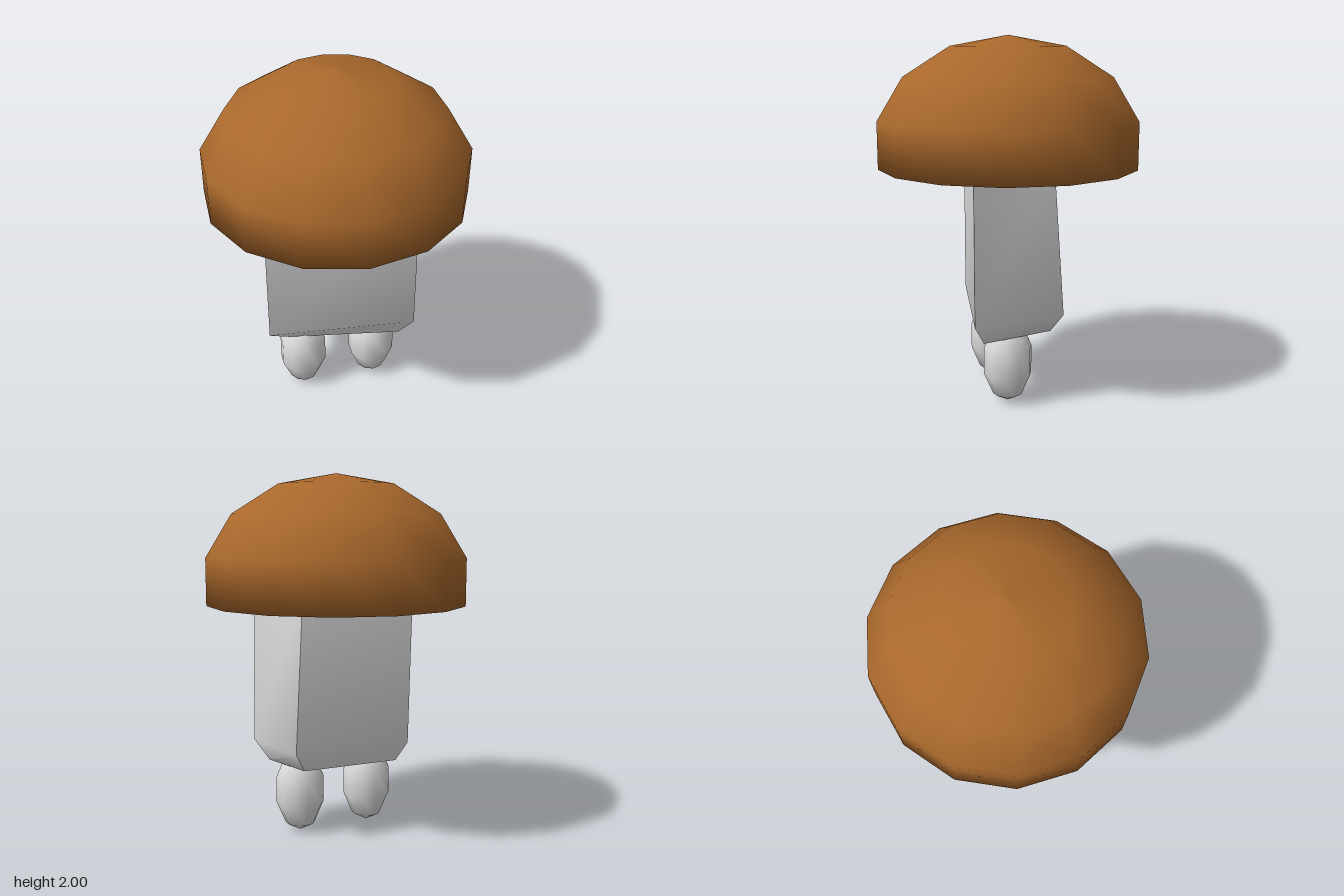
import * as THREE from 'three';
import { toCreasedNormals } from 'three/addons/utils/BufferGeometryUtils.js';

// Builds a closed solid from rings of [x, y, z] corners, listed bottom to top
function solidFromRings(rings) {
  const n = rings[0].length, index = [];
  for (let r = 0; r < rings.length - 1; r++) {
    for (let i = 0; i < n; i++) {
      const j = (i + 1) % n, a = r * n + i, b = r * n + j;
      index.push(a, b, b + n, a, b + n, a + n);
    }
  }
  const top = (rings.length - 1) * n;
  for (let i = 1; i < n - 1; i++) {
    index.push(0, i + 1, i, top, top + i, top + i + 1);
  }
  const geometry = new THREE.BufferGeometry();
  geometry.setAttribute('position', new THREE.Float32BufferAttribute(rings.flat(2), 3));
  geometry.setIndex(index);
  return toCreasedNormals(geometry, 0.95);
}

export function createModel() {
  const brown = new THREE.MeshStandardMaterial({ color: 0xa9682c });
  brown.name = 'cap brown';
  const white = new THREE.MeshStandardMaterial({ color: 0xdedede });
  white.name = 'body white';

  const model = new THREE.Group();
  model.name = 'mushroomFigure';
  const add = (name, geometry, material) => {
    const mesh = new THREE.Mesh(geometry, material);
    mesh.name = name;
    model.add(mesh);
    return mesh;
  };

  // Cap: upper part of a flattened 14-sided sphere, closed flat underneath
  const profile = [new THREE.Vector2(0, 1.29)];
  for (let k = 4; k >= 0; k--) {
    const angle = (k * Math.PI) / 7;
    profile.push(new THREE.Vector2(0.733 * Math.sin(angle), 1.42 + 0.58 * Math.cos(angle)));
  }
  add('cap', new THREE.LatheGeometry(profile, 14), brown);

  // Body: slightly crooked block with a chamfered underside
  add('body', solidFromRings([
    [[0.33, 0.385, 0.2], [0.27, 0.41, -0.18], [-0.28, 0.41, -0.19], [-0.31, 0.405, 0.12]],
    [[0.4, 0.5, 0.26], [0.34, 0.52, -0.235], [-0.33, 0.52, -0.24], [-0.43, 0.49, 0.18]],
    [[0.39, 1.36, 0.26], [0.28, 1.36, -0.19], [-0.35, 1.36, -0.24], [-0.43, 1.36, 0.18]],
  ]), white);

  // Legs: stretched low-poly spheres
  for (const [name, x] of [['leftLeg', 0.205], ['rightLeg', -0.215]]) {
    const geometry = new THREE.SphereGeometry(0.141, 10, 5);
    geometry.rotateY(Math.PI / 2);
    geometry.scale(1, 0.24 / 0.141, 1);
    add(name, geometry, white).position.set(x, 0.24, 0.045);
  }
  return model;
}
